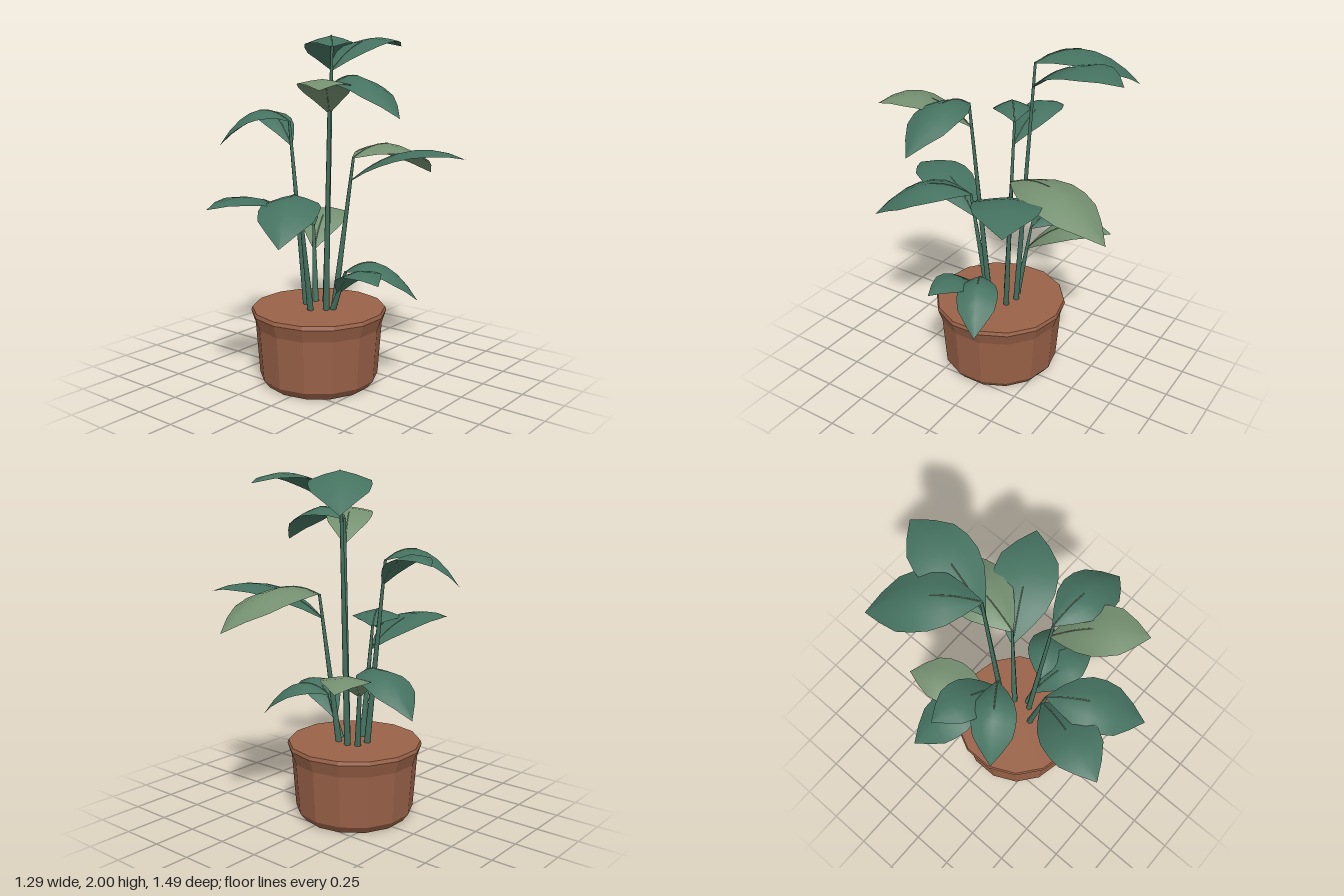
import * as THREE from 'three';

const paint = (name, color, side = THREE.FrontSide) => {
  const m = new THREE.MeshStandardMaterial({ color, side });
  m.name = name;
  return m;
};

// Leaf half-width as a fraction of length, from stalk (0) to tip (1)
const OUTLINE = [[0, 0.02], [0.14, 0.14], [0.28, 0.235], [0.42, 0.28], [0.56, 0.28], [0.7, 0.25], [0.85, 0.14], [1, 0]];
const COLUMNS = 4;

// Height of the midrib along the leaf: an arch that either droops or rises
const arch = (t, drooping) => drooping ? 0.36 * t - 0.505 * t * t : 0.57 * t - 0.435 * t * t;

function leafGeometry(length, drooping) {
  const pos = [], index = [];
  const sag = drooping ? 0.05 : 0.025;
  OUTLINE.forEach(([t, w], i) => {
    for (let j = 0; j <= COLUMNS; j++) {
      const s = (j / COLUMNS) * 2 - 1;
      const drop = sag * (w / 0.28) * Math.pow(Math.abs(s), 1.3);
      pos.push(s * w * length, arch(t, drooping) - drop, t * length);
      if (i < OUTLINE.length - 1 && j < COLUMNS) {
        const a = i * (COLUMNS + 1) + j, b = a + COLUMNS + 1;
        index.push(a, b, a + 1, a + 1, b, b + 1);
      }
    }
  });
  const g = new THREE.BufferGeometry();
  g.setAttribute('position', new THREE.Float32BufferAttribute(pos, 3));
  g.setIndex(index);
  g.computeVertexNormals();
  return g;
}

// Thin raised rib over the inner part of the leaf
function veinGeometry(length, drooping) {
  const pts = [0, 0.14, 0.28, 0.42].map(t => new THREE.Vector3(0, arch(t, drooping), t * length));
  return new THREE.TubeGeometry(new THREE.CatmullRomCurve3(pts), 6, 0.003, 4);
}

// Each stem: foot, top, leaf length, then tip [x, z] and shade of the drooping and rising leaf
const STEMS = [
  { foot: [-0.07, -0.06], top: [-0.095, 1.93, -0.15], length: 0.57, droop: [-0.46, -0.59], rise: [0.01, -0.72] },
  { foot: [0.03, 0.06], top: [0.11, 1.715, 0.13], length: 0.49, droop: [0.6, 0.18], rise: [0.375, 0.545], paleRise: true },
  { foot: [-0.13, 0.045], top: [-0.237, 1.51, 0.062], length: 0.405, droop: [-0.57, 0.3], rise: [-0.63, -0.05] },
  { foot: [0.01, -0.04], top: [0.085, 1.31, -0.12], length: 0.645, droop: [0.21, -0.76], rise: [0.65, -0.42], paleDroop: true },
  { foot: [-0.125, -0.035], top: [-0.185, 0.89, -0.09], length: 0.49, droop: [-0.65, -0.245], rise: [-0.375, -0.54], paleRise: true },
  { foot: [0.05, 0.03], top: [0.155, 0.685, 0.04], length: 0.405, droop: [0.515, -0.15], rise: [0.53, 0.2] },
  { foot: [-0.035, 0.12], top: [-0.025, 1.095, 0.225], length: 0.567, droop: [0.26, 0.715], rise: [-0.225, 0.755] },
];

export function createModel() {
  const group = new THREE.Group();
  group.name = 'pottedPlant';
  const clay = paint('terracotta', 0x9a6248);
  const green = paint('darkGreen', 0x457260, THREE.DoubleSide);
  const sage = paint('sageGreen', 0x748f70, THREE.DoubleSide);

  const add = (name, geometry, material, parent = group) => {
    const mesh = new THREE.Mesh(geometry, material);
    mesh.name = name;
    parent.add(mesh);
    return mesh;
  };

  // Faceted pot, closed with soil of the same colour
  const profile = [[0, 0], [0.31, 0], [0.345, 0.045], [0.367, 0.35], [0.392, 0.425], [0.385, 0.446], [0, 0.446]]
    .map(([r, y]) => new THREE.Vector2(r, y));
  const potGeometry = new THREE.LatheGeometry(profile, 14).toNonIndexed();
  potGeometry.computeVertexNormals();
  add('pot', potGeometry, clay).position.set(-0.045, 0, 0.035);

  const up = new THREE.Vector3(0, 1, 0);
  for (const { foot, top, length, droop, rise, paleDroop, paleRise } of STEMS) {
    const plant = new THREE.Group();
    plant.name = 'stemWithLeaves';
    group.add(plant);

    // Tapered stem from soil to top
    const a = new THREE.Vector3(foot[0], 0.43, foot[1]);
    const b = new THREE.Vector3(...top);
    const along = b.clone().sub(a);
    const stem = add('stem', new THREE.CylinderGeometry(0.008, 0.019, along.length(), 6), green, plant);
    stem.position.copy(a).add(b).multiplyScalar(0.5);
    stem.quaternion.setFromUnitVectors(up, along.clone().normalize());

    // Drooping leaf at the top, rising leaf a little lower
    const addLeaf = (tip, drooping, pale) => {
      const leaf = new THREE.Group();
      leaf.name = drooping ? 'droopingLeaf' : 'risingLeaf';
      leaf.position.copy(b);
      if (!drooping) leaf.position.addScaledVector(along, -0.135 / along.y);
      leaf.rotation.y = Math.atan2(tip[0] - leaf.position.x, tip[1] - leaf.position.z);
      add('blade', leafGeometry(length, drooping), pale ? sage : green, leaf);
      add('vein', veinGeometry(length, drooping), sage, leaf);
      plant.add(leaf);
    };
    addLeaf(droop, true, paleDroop);
    addLeaf(rise, false, paleRise);
  }
  return group;
}
